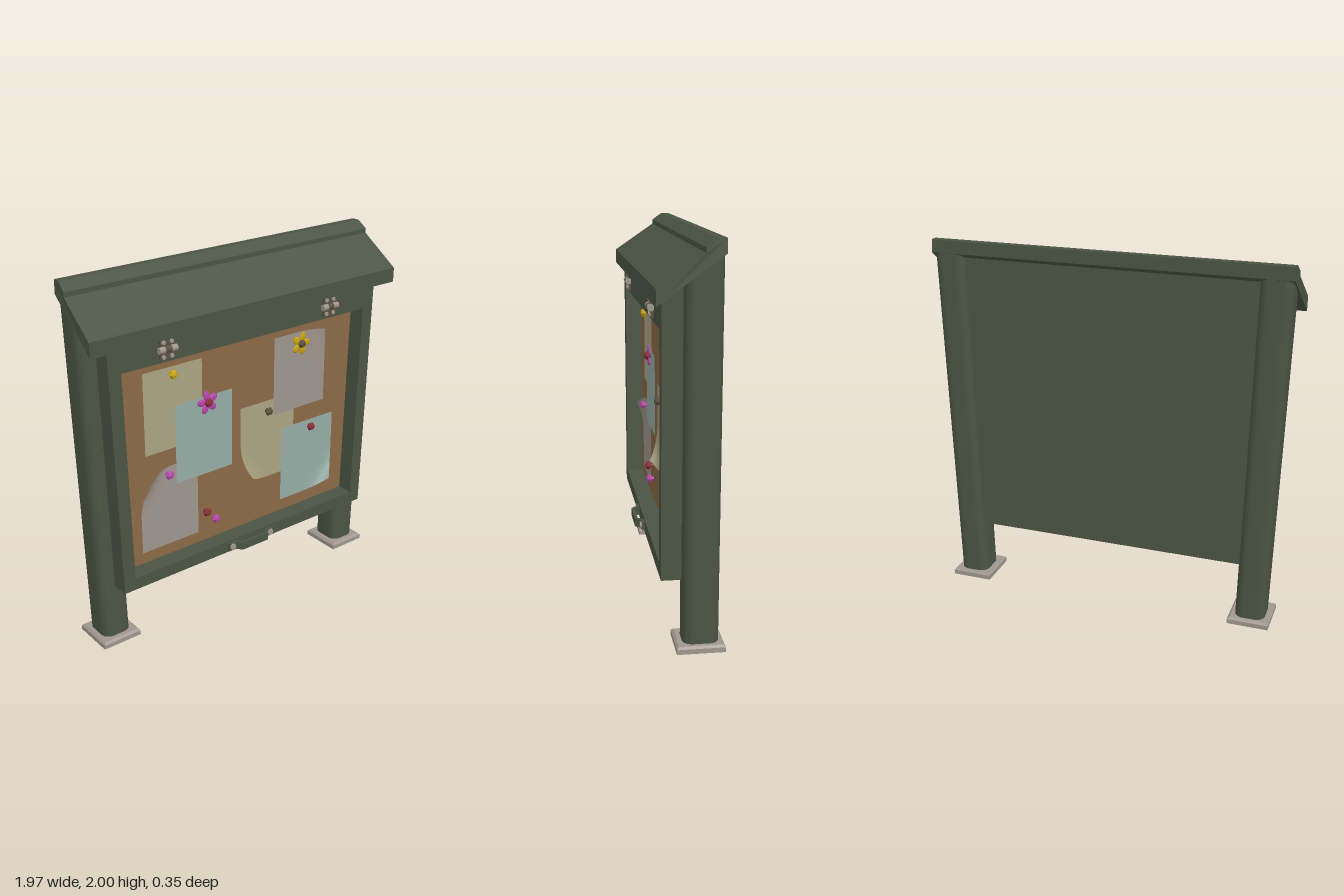
import * as THREE from 'three';
import { toCreasedNormals } from 'three/addons/utils/BufferGeometryUtils.js';

const mat = (name, color, side = THREE.FrontSide) => {
  const m = new THREE.MeshStandardMaterial({ color, side });
  m.name = name;
  return m;
};

// underside of the sloping roof
const roofLine = z => 1.70 + (0.17 - z) * 0.719;

// move vertices by a rule
function warp(geo, rule) {
  const p = geo.attributes.position, v = new THREE.Vector3();
  for (let i = 0; i < p.count; i++) {
    rule(v.fromBufferAttribute(p, i));
    p.setXYZ(i, v.x, v.y, v.z);
  }
  geo.computeVertexNormals();
  return geo;
}

// everything flares slightly upward; tall parts are cut off along the roof slope
const flare = v => {
  if (v.y > 1.7) v.y = roofLine(v.z) + 0.012;
  v.x *= 1 + 0.03 * v.y;
};

function roundedRect(w, h, r) {
  const s = new THREE.Shape(), x = w / 2 - r, y = h / 2 - r;
  s.absarc(x, y, r, 0, Math.PI / 2);
  s.absarc(-x, y, r, Math.PI / 2, Math.PI);
  s.absarc(-x, -y, r, Math.PI, Math.PI * 1.5);
  s.absarc(x, -y, r, Math.PI * 1.5, Math.PI * 2);
  s.closePath();
  return s;
}

const polygon = pts => new THREE.Shape(pts.map(([x, y]) => new THREE.Vector2(x, y)));
const extrude = (shape, depth, curveSegments = 4) =>
  new THREE.ExtrudeGeometry(shape, { depth, bevelEnabled: false, curveSegments });

export function createModel() {
  const model = new THREE.Group();
  model.name = 'noticeBoard';
  const green = mat('darkGreenWood', 0x4b5544);
  const cork = mat('cork', 0x8c6845);
  const steel = mat('steel', 0xa0978f);
  const dark = mat('darkBrown', 0x5a5240);
  const yellow = mat('yellow', 0xcda40f);
  const magenta = mat('magenta', 0xb848ac);
  const red = mat('red', 0x8c2c3a);
  const cream = mat('creamPaper', 0xaaa482, THREE.DoubleSide);
  const teal = mat('tealPaper', 0x95aca4, THREE.DoubleSide);
  const grey = mat('greyPaper', 0x9f958e, THREE.DoubleSide);

  const add = (name, geo, material, x = 0, y = 0, z = 0, parent = model) => {
    const m = new THREE.Mesh(geo, material);
    m.name = name;
    m.position.set(x, y, z);
    parent.add(m);
    return m;
  };

  // posts and foot plates
  for (const side of [-1, 1]) {
    const post = extrude(roundedRect(0.164, 0.18, 0.05), 1.8).rotateX(-Math.PI / 2)
      .translate(side * 0.828, 0.02, -0.06);
    add(side > 0 ? 'leftPost' : 'rightPost', toCreasedNormals(warp(post, flare), 0.6), green);

    const plate = new THREE.BoxGeometry(0.228, 0.036, 0.24, 1, 2, 1);
    warp(plate, v => {
      if (v.y > 0.01) { v.x *= 0.9; v.z *= 0.9; }
      else if (v.y > -0.01) v.y = 0.007;
    });
    add('footPlate', toCreasedNormals(plate, 0.4), steel, side * 0.828, 0.018, -0.055);
  }

  // cabinet: open front frame, back slab and cork
  const frameShape = polygon([[-0.829, 0.345], [0.829, 0.345], [0.829, 1.8], [-0.829, 1.8]]);
  frameShape.holes.push(new THREE.Path([[-0.76, 0.415], [-0.76, 1.57], [0.76, 1.57], [0.76, 0.415]]
    .map(([x, y]) => new THREE.Vector2(x, y))));
  add('frame', warp(extrude(frameShape, 0.1).translate(0, 0, 0.03), flare), green);
  const back = new THREE.BoxGeometry(1.658, 1.455, 0.15).translate(0, 1.0725, -0.045);
  add('backPanel', warp(back, flare), green);
  const corkSheet = new THREE.BoxGeometry(1.52, 1.155, 0.006).translate(0, 0.9925, 0.032);
  add('corkSheet', warp(corkSheet, flare), cork);

  // sloping roof with ridge cap, a little wider at the eave
  const profile = polygon([[0.17, 1.70], [0.17, 1.78], [-0.055, 1.935], [-0.055, 1.96],
    [-0.11, 2.0], [-0.152, 2.0], [-0.152, 1.93]]);
  const roof = extrude(profile, 2).translate(0, 0, -1).rotateY(-Math.PI / 2);
  // after turning, profile x lies along z
  add('roof', warp(roof, v => {
    const half = 0.967 + (v.z + 0.152) * 0.05 - (v.y > 1.99 ? 0.004 : 0);
    v.x = Math.sign(v.x) * half;
  }), green);

  // hinges
  for (const x of [-0.535, 0.53]) {
    const hinge = new THREE.Group();
    hinge.name = 'hinge';
    hinge.position.set(x, 1.64, 0.13);
    model.add(hinge);
    for (const s of [-1, 1]) {
      add('hingeLeaf', new THREE.BoxGeometry(0.084, 0.045, 0.014), dark, 0, s * 0.031, 0.006, hinge);
      for (const t of [-1, 1]) {
        const bolt = new THREE.CylinderGeometry(0.011, 0.013, 0.01, 8).rotateX(Math.PI / 2);
        add('hingeBolt', bolt, steel, t * 0.024, s * 0.038, 0.015, hinge);
      }
    }
    [-0.036, 0, 0.036].forEach((bx, i) => {
      const barrel = new THREE.CylinderGeometry(0.018, 0.018, 0.034, 8).rotateZ(Math.PI / 2);
      add('hingeBarrel', barrel, i === 1 ? dark : steel, bx, 0, 0.014, hinge);
    });
  }

  // pull handle
  const pull = polygon([[-0.16, 0], [-0.16, 0.014], [-0.115, 0.016], [-0.09, 0.046], [0.09, 0.046],
    [0.115, 0.016], [0.16, 0.014], [0.16, 0], [0.105, 0], [0.08, 0.03], [-0.08, 0.03], [-0.105, 0]]);
  const pullGeo = extrude(pull, 0.046).rotateX(Math.PI / 2);
  add('handle', pullGeo, green, 0, 0.401, 0.13);
  for (const x of [-0.138, 0.13]) {
    add('handleBolt', new THREE.CylinderGeometry(0.018, 0.02, 0.012, 8).rotateX(Math.PI / 2),
      steel, x, 0.378, 0.148);
  }

  // paper sheets: centre, size, height, colour, curled corner and its amount
  const sheets = [
    [-0.438, 1.268, 0.365, 0.455, 0.038, cream, -1, -1, 0],
    [-0.25, 1.055, 0.37, 0.45, 0.045, teal, 1, -1, 0],
    [0.19, 0.905, 0.38, 0.47, 0.038, cream, -1, -1, 0.05],
    [0.41, 1.27, 0.37, 0.45, 0.046, grey, 1, 1, 0.015],
    [0.478, 0.718, 0.385, 0.455, 0.046, teal, 1, -1, 0.06],
    [-0.478, 0.713, 0.365, 0.465, 0.04, grey, -1, 1, 0.05],
  ];
  for (const [x, y, w, h, z, material, cx, cy, curl] of sheets) {
    const sheet = warp(new THREE.PlaneGeometry(w, h, 10, 10), v => {
      const d = Math.max(0, (v.x * cx / w + v.y * cy / h) - 0.45) / 0.55;
      v.x -= cx * curl * d * d;
      v.y -= cy * curl * d * d;
      v.z = curl * d * d;
    });
    add('paperSheet', sheet, material, x, y, z);
  }

  // push pins
  const pin = (x, y, material, z = 0.062) => {
    const head = new THREE.SphereGeometry(0.026, 6, 4).rotateX(Math.PI / 2).scale(1, 1, 0.7);
    add('pinHead', toCreasedNormals(head, 0.2), material, x, y, z);
    add('pinNeck', new THREE.CylinderGeometry(0.01, 0.01, 0.03, 6).rotateX(Math.PI / 2),
      material, x, y, z - 0.016);
  };
  pin(-0.45, 1.46, yellow);
  pin(0.18, 1.085, dark);
  pin(0.495, 0.905, red);
  pin(-0.49, 0.905, magenta);
  pin(-0.25, 0.6, red);
  pin(-0.19, 0.54, magenta);

  // flower pins
  for (const [x, y, petals, centre, turn] of [
    [-0.235, 1.25, magenta, red, 0.5], [0.405, 1.43, yellow, dark, 0.0]]) {
    for (let i = 0; i < 5; i++) {
      const a = turn + i * Math.PI * 2 / 5;
      const petal = new THREE.SphereGeometry(1, 8, 6).scale(0.03, 0.021, 0.006).rotateZ(a);
      add('petal', petal, petals, x + Math.cos(a) * 0.038, y + Math.sin(a) * 0.038, 0.058);
    }
    pin(x, y, centre, 0.066);
  }
  return model;
}
